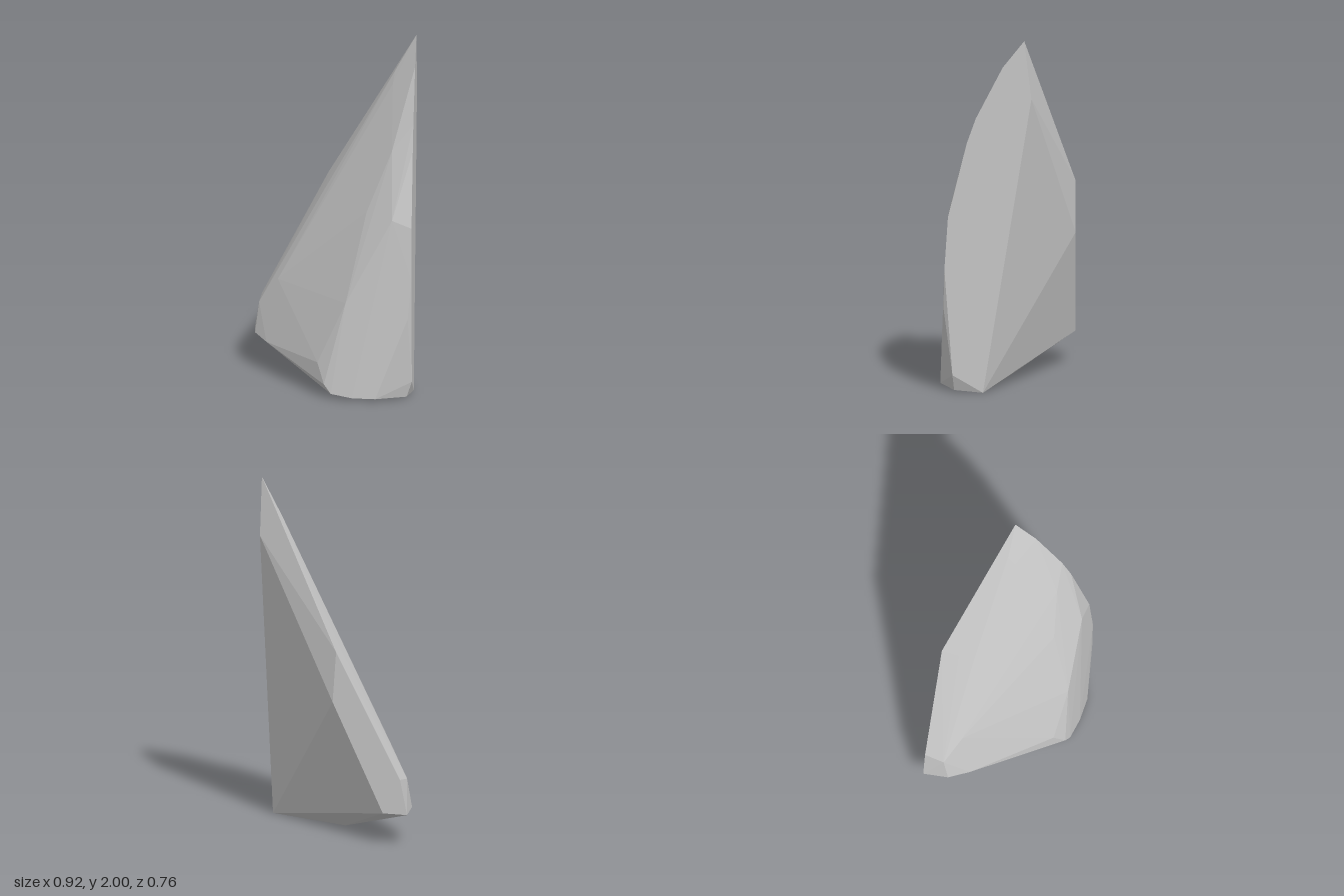
import * as THREE from 'three';
import { ConvexGeometry } from 'three/addons/geometries/ConvexGeometry.js';

// A faceted shard of stone: the convex skin around a few rings of corners.
export function createModel() {
  const stone = new THREE.MeshStandardMaterial({ color: 0xc7c7c7 });
  stone.name = 'pale grey stone';
  stone.flatShading = true;

  // Flat cut side, listed as [y, z] on the plane x = 0.46
  const cutSide = [
    [2.0, -0.09], [1.85, 0.03], [1.56, 0.18], [1.42, 0.23], [1.0, 0.335],
    [0.7, 0.355], [0.1, 0.31], [0, 0.14], [1.67, -0.13],
  ].map(([y, z]) => [0.46, y, z]);

  // Back edge, on the plane z = -0.38
  const back = [
    [-0.05, 1.1], [-0.03, 0.81], [-0.32, 0.19], [-0.46, 0.19], [-0.42, 0.39],
  ].map(([x, y]) => [x, y, -0.38]);

  // Underside and lower rim
  const base = [
    [0, 0, -0.01], [0.43, 0.01, 0.3], [0.26, 0.015, 0.376], [0.13, 0.015, 0.367],
    [0.01, 0.03, 0.342], [-0.03, 0.08, 0.325], [-0.07, 0.19, 0.268],
    [-0.38, 0.18, -0.13], [-0.45, 0.2, -0.24],
  ];

  // Gently rounded front
  const front = [
    [-0.43, 0.37, -0.27], [-0.32, 0.53, -0.19], [-0.05, 1.09, -0.28],
    [-0.05, 1.075, -0.195], [0.34, 1.785, -0.1], [0.33, 1.72, -0.06],
    [0.34, 1.4, 0.18], [0.2, 1.05, 0.2], [0.35, 1.04, 0.322],
    [0.09, 0.55, 0.31], [0.44, 0.48, 0.36],
  ];

  const corners = [...cutSide, ...back, ...base, ...front].map((p) => new THREE.Vector3(...p));
  const shard = new THREE.Mesh(new ConvexGeometry(corners), stone);
  shard.name = 'stoneShard';

  const group = new THREE.Group();
  group.name = 'rock';
  group.add(shard);
  return group;
}
